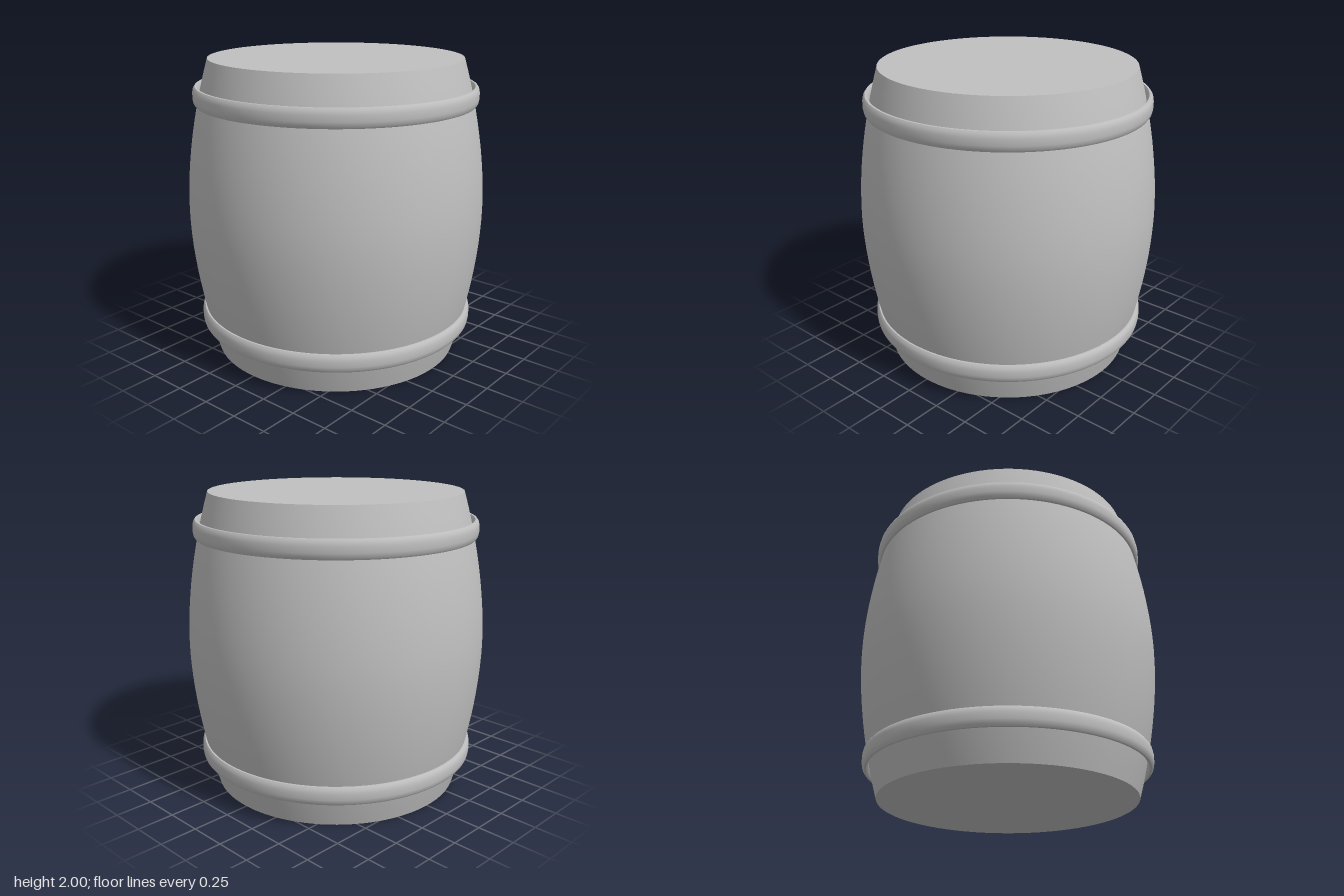
import * as THREE from 'three';
import { toCreasedNormals } from 'three/addons/utils/BufferGeometryUtils.js';

const SEGMENTS = 96;

// Revolve [radius, y] pairs, keeping sharp edges crisp
function revolve(points, material, name) {
  const profile = points.map(([r, y]) => new THREE.Vector2(r, y));
  const geometry = toCreasedNormals(new THREE.LatheGeometry(profile, SEGMENTS), 0.6);
  const mesh = new THREE.Mesh(geometry, material);
  mesh.name = name;
  return mesh;
}

export function createModel() {
  const group = new THREE.Group();
  group.name = 'barrel';
  const grey = new THREE.MeshStandardMaterial({ color: 0xc0c0c0 });
  grey.name = 'plain grey';

  // Bulging body, closed by flat heads at both ends
  const body = [[0, 0]];
  const steps = 24;
  for (let i = 0; i <= steps; i++) {
    const t = (i / steps) * 2 - 1;
    body.push([1 - 0.16 * Math.pow(Math.abs(t), 1.85), 1 + t]);
  }
  body.push([0, 2]);
  group.add(revolve(body, grey, 'body'));

  // Rounded hoop cross-section, relative to the hoop's middle height
  const hoop = [
    [0.9, -0.06], [0.928, -0.06], [0.939, -0.045], [0.944, -0.02],
    [0.944, 0.02], [0.939, 0.045], [0.928, 0.06], [0.915, 0.06],
    [0.904, 0.045], [0.899, 0.02], [0.89, -0.045], [0.9, -0.06],
  ];
  for (const [name, y, flip] of [['lowerHoop', 0.243, -1], ['upperHoop', 1.763, 1]]) {
    const points = hoop.map(([r, h]) => [r, y + h * flip]);
    if (flip < 0) points.reverse();
    group.add(revolve(points, grey, name));
  }
  return group;
}
